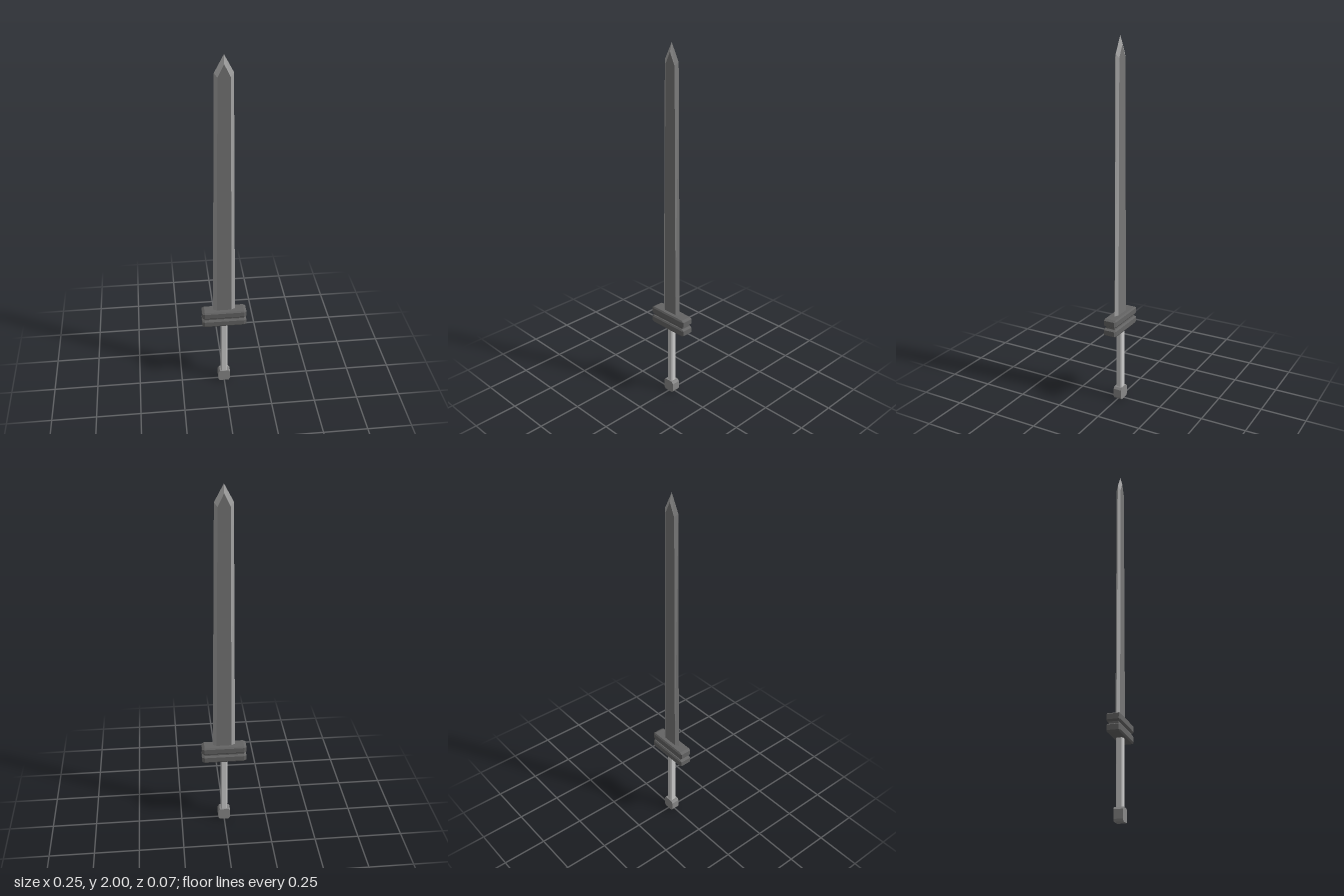
import * as THREE from 'three';
import { ConvexGeometry } from 'three/addons/geometries/ConvexGeometry.js';

const paint = (color) => new THREE.MeshStandardMaterial({ color, flatShading: true });
const bladeDark = paint(0x767676);
const edgeSteel = paint(0xa6a6a6);
const guardDark = paint(0x646464);
const gripLight = paint(0xd0d0d0);
const pommelGrey = paint(0x888888);

// Box with half sizes x, y, z whose edges are all cut by cx, cy, cz
function chamferBox(x, y, z, cx, cy, cz) {
  const points = [];
  for (const sx of [-1, 1]) for (const sy of [-1, 1]) for (const sz of [-1, 1]) {
    points.push(
      new THREE.Vector3(sx * x, sy * (y - cy), sz * (z - cz)),
      new THREE.Vector3(sx * (x - cx), sy * y, sz * (z - cz)),
      new THREE.Vector3(sx * (x - cx), sy * (y - cy), sz * z),
    );
  }
  return new ConvexGeometry(points);
}

// Skin between matching outlines, given clockwise from back to front as { points, z }
function skin(outlines) {
  const pos = [];
  for (let r = 0; r < outlines.length - 1; r++) {
    const a = outlines[r], b = outlines[r + 1];
    for (let i = 0; i < a.points.length - 1; i++) {
      const a0 = [...a.points[i], a.z], a1 = [...a.points[i + 1], a.z];
      const b0 = [...b.points[i], b.z], b1 = [...b.points[i + 1], b.z];
      pos.push(...a0, ...b0, ...b1, ...a0, ...b1, ...a1);
    }
  }
  const geometry = new THREE.BufferGeometry();
  geometry.setAttribute('position', new THREE.Float32BufferAttribute(pos, 3));
  geometry.computeVertexNormals();
  return geometry;
}

// Flat plate of the given outline, centred on z = 0
function plate(points, depth) {
  const shape = new THREE.Shape(points.map(([x, y]) => new THREE.Vector2(x, y)));
  return new THREE.ExtrudeGeometry(shape, { depth, bevelEnabled: false })
    .translate(0, 0, -depth / 2);
}

// Pointed outline running from the lower left over the tip to the lower right
const bladeOutline = (base, shoulder, shoulderY, tipY) => [
  [-base, 0.5], [-shoulder, shoulderY], [0, tipY], [shoulder, shoulderY], [base, 0.5],
];

export function createModel() {
  const group = new THREE.Group();
  const add = (name, geometry, material, y = 0) => {
    const mesh = new THREE.Mesh(geometry, material);
    mesh.name = name;
    mesh.position.y = y;
    group.add(mesh);
  };

  // Tapered blade: dark flat core with lighter ground edges
  const z = 0.012;
  const ridge = bladeOutline(0.042, 0.032, 1.89, 1.955);
  const edge = bladeOutline(0.063, 0.048, 1.91, 2);
  add('bladeCore', plate(ridge, 2 * z), bladeDark);
  add('bladeEdges', skin([
    { points: ridge, z: -z }, { points: edge, z: 0 }, { points: ridge, z },
  ]), edgeSteel);

  // Crossguard: two chamfered slabs with a recessed bar between them
  for (const [name, y] of [['lowerGuard', 0.439], ['upperGuard', 0.494]]) {
    add(name, chamferBox(0.125, 0.022, 0.037, 0.014, 0.008, 0.006), guardDark, y);
  }
  add('guardCore', new THREE.BoxGeometry(0.222, 0.03, 0.052), guardDark, 0.467);

  // Square grip with cut corners
  add('grip', chamferBox(0.0185, 0.185, 0.0185, 0.006, 0.005, 0.006), gripLight, 0.245);

  // Pommel: block with cut corners
  const w = 0.035, h = 0.07, cx = 0.009, cy = 0.012;
  add('pommel', plate([
    [-w + cx, 0], [w - cx, 0], [w, cy], [w, h - cy],
    [w - cx, h], [-w + cx, h], [-w, h - cy], [-w, cy],
  ], 0.048), pommelGrey);

  return group;
}
